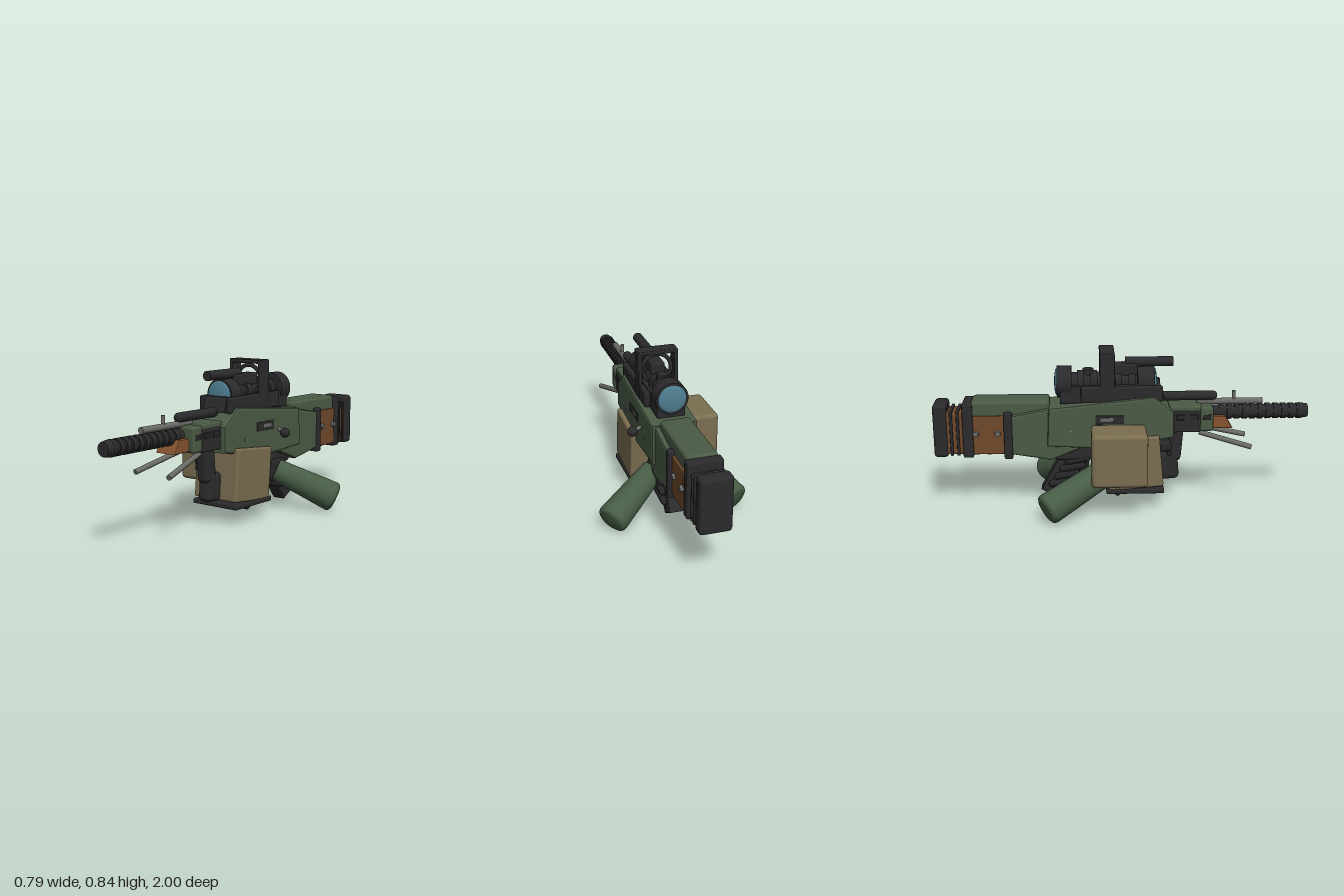
import * as THREE from 'three';
import { RoundedBoxGeometry } from 'three/addons/geometries/RoundedBoxGeometry.js';

const mat = (name, color) => {
  const m = new THREE.MeshStandardMaterial({ color });
  m.name = name;
  return m;
};
const V = (x, y, z) => new THREE.Vector3(x, y, z);
const CX = 0.01; // centre plane of the body

export function createModel() {
  const green = mat('olive green', 0x4b5b45);
  const sleeve = mat('sleeve green', 0x475c45);
  const black = mat('black', 0x2b2b2d);
  const glove = mat('glove black', 0x262628);
  const tan = mat('tan', 0x7b6e50);
  const brown = mat('brown', 0x70492c);
  const copper = mat('copper brown', 0x85532f);
  const glass = mat('blue glass', 0x4f7f92);
  const grey = mat('grey metal', 0x6a6a66);

  const model = new THREE.Group();
  const add = (name, geo, material) => {
    const m = new THREE.Mesh(geo, material);
    m.name = name;
    model.add(m);
    return m;
  };
  // rounded box from its bounds
  const box = (name, material, x0, x1, y0, y1, z0, z1, r = 0.01, tilt = 0) => {
    const m = add(name, new RoundedBoxGeometry(x1 - x0, y1 - y0, z1 - z0, 2, r), material);
    m.position.set((x0 + x1) / 2, (y0 + y1) / 2, (z0 + z1) / 2);
    m.rotation.x = tilt;
    return m;
  };
  // cylinder between two points
  const rod = (name, material, a, b, r0, r1 = r0, seg = 24) => {
    const d = b.clone().sub(a);
    const m = add(name, new THREE.CylinderGeometry(r1, r0, d.length(), seg), material);
    m.position.copy(a).addScaledVector(d, 0.5);
    m.quaternion.setFromUnitVectors(V(0, 1, 0), d.normalize());
    return m;
  };
  const tube = (name, material, y, z0, z1, r, r1 = r) => rod(name, material, V(CX, y, z0), V(CX, y, z1), r, r1);
  const capsule = (name, material, a, b, r) => {
    const d = b.clone().sub(a);
    const m = add(name, new THREE.CapsuleGeometry(r, d.length(), 5, 12), material);
    m.position.copy(a).addScaledVector(d, 0.5);
    m.quaternion.setFromUnitVectors(V(0, 1, 0), d.normalize());
    return m;
  };
  // side outline of [z, y] points, extruded across the width
  const slab = (name, material, points, width, bevel = 0.012) => {
    const shape = new THREE.Shape(points.map(p => new THREE.Vector2(...p)));
    const geo = new THREE.ExtrudeGeometry(shape, {
      depth: width - 2 * bevel, bevelEnabled: true, bevelSize: bevel,
      bevelThickness: bevel, bevelOffset: -bevel, bevelSegments: 2,
    });
    geo.translate(0, 0, -width / 2 + bevel).rotateY(-Math.PI / 2);
    const m = add(name, geo, material);
    m.position.x = CX;
    return m;
  };

  // receiver and rear housing
  slab('receiver', green, [[0.27, 0.4], [0.27, 0.535], [0.165, 0.625], [-0.39, 0.57], [-0.4, 0.36], [-0.1, 0.345]], 0.24);
  slab('rearHousing', green, [[-0.23, 0.34], [-0.23, 0.56], [-0.38, 0.565], [-0.59, 0.525], [-0.59, 0.315], [-0.38, 0.28]], 0.21);
  box('cheekRest', green, -0.07, 0.09, 0.45, 0.602, -0.8, -0.385, 0.02);

  // stock with collars and butt pad
  box('stockCore', brown, -0.062, 0.082, 0.31, 0.54, -0.95, -0.58);
  for (const s of [-1, 1]) {
    box('stockPanel', brown, CX + s * 0.079 - 0.012, CX + s * 0.079 + 0.012, 0.315, 0.525, -0.79, -0.62, 0.005);
    for (const z of [-0.66, -0.775])
      rod('stockStud', grey, V(CX + s * 0.085, 0.43, z), V(CX + s * 0.105, 0.43, z), 0.018, 0.014);
  }
  box('frontCollar', black, -0.1, 0.12, 0.29, 0.545, -0.627, -0.582);
  box('rearCollar', black, -0.08, 0.1, 0.295, 0.59, -0.845, -0.79);
  for (const z of [-0.87, -0.905]) box('stockRib', black, -0.07, 0.09, 0.305, 0.55, z - 0.008, z + 0.008, 0.005);
  box('stockStrap', black, -0.05, 0.07, 0.302, 0.54, -0.72, -0.7, 0.005);
  box('buttPad', black, -0.072, 0.092, 0.295, 0.585, -1, -0.925, 0.02);

  // receiver side details
  for (const s of [-1, 1]) {
    const side = CX + s * 0.12;
    box('portPlate', black, side - 0.004, side + 0.004, 0.483, 0.53, -0.145, 0.005, 0.003);
    box('portInsert', grey, side - 0.006, side + 0.006, 0.496, 0.518, -0.12, -0.05, 0.003);
    for (const z of [0.1, -0.275]) rod('rivet', grey, V(side - s * 0.02, 0.45, z), V(side + s * 0.004, 0.45, z), 0.01, 0.01, 12);
  }
  rod('chargingStem', grey, V(0.11, 0.485, -0.19), V(0.165, 0.46, -0.19), 0.011);
  add('chargingKnob', new THREE.SphereGeometry(0.027, 20, 14), black).position.set(0.173, 0.457, -0.19);

  // handguard, nose and bipod
  box('handguard', black, -0.08, 0.1, 0.42, 0.54, 0.25, 0.415);
  box('handguardTop', green, -0.075, 0.095, 0.53, 0.565, 0.25, 0.42);
  box('handguardFront', green, -0.085, 0.105, 0.425, 0.56, 0.41, 0.482, 0.015);
  for (const s of [-1, 1]) {
    for (let i = 0; i < 3; i++)
      box('handguardVent', glove, CX + s * 0.092 - 0.004, CX + s * 0.092 + 0.004, 0.49, 0.52, 0.285 + i * 0.07, 0.33 + i * 0.07, 0.003);
    rod('bipodLeg', grey, V(CX + s * 0.065, 0.415, 0.41), V(CX + s * 0.112, 0.342, 0.685), 0.014);
  }
  slab('nose', copper, [[0.47, 0.5], [0.55, 0.5], [0.59, 0.432], [0.47, 0.432]], 0.125, 0.008);

  // barrel, gas tube and front sight
  tube('barrel', black, 0.51, 0.25, 0.98, 0.036);
  for (let z = 0.52; z < 0.97; z += 0.042) tube('barrelRing', black, 0.51, z, z + 0.026, 0.042);
  tube('muzzle', black, 0.51, 0.955, 1, 0.043, 0.036);
  tube('gasTube', grey, 0.567, 0.4, 0.755, 0.017);
  capsule('topTube', black, V(CX, 0.6, 0.22), V(CX, 0.6, 0.485), 0.026);
  rod('frontSight', grey, V(CX, 0.57, 0.6), V(CX, 0.625, 0.6), 0.01);

  // fore grip
  box('foreGripTop', black, -0.027, 0.05, 0.24, 0.43, 0.24, 0.325, 0.025, 0.08);
  box('foreGripBottom', black, -0.028, 0.052, 0.135, 0.29, 0.2, 0.305, 0.025, -0.08);

  // ammunition box and side pouch
  box('ammoBox', tan, -0.13, 0.155, 0.122, 0.405, -0.088, 0.205, 0.012, -0.09);
  box('ammoBasePlate', black, -0.137, 0.16, 0.097, 0.124, -0.09, 0.22, 0.008);
  box('basePlateRidge', black, -0.06, 0.08, 0.088, 0.11, -0.04, 0.16, 0.008);
  box('feedLever', black, -0.028, 0.052, 0.06, 0.14, -0.09, 0.01, 0.008, 0.6);
  box('sidePouch', tan, -0.31, -0.1, 0.195, 0.48, -0.17, 0.12, 0.022);

  // pistol grip and trigger guard
  slab('pistolGrip', black, [[-0.13, 0.35], [-0.3, 0.35], [-0.44, 0.09], [-0.36, 0.042]], 0.085);
  box('gripMount', black, -0.06, 0.08, 0.27, 0.37, -0.36, -0.07);
  box('triggerGuard', black, -0.01, 0.03, 0.17, 0.195, -0.24, -0.07, 0.008, 0.1);

  // gloved hands
  for (let i = 0; i < 4; i++) {
    const y = 0.275 - i * 0.042, z = -0.19 - i * 0.03;
    for (const s of [-1, 1])
      capsule('rightFinger', glove, V(CX + s * 0.055, y, z), V(CX + s * 0.05, y - 0.02, z - 0.1), 0.02);
    capsule('rightKnuckle', glove, V(CX - 0.05, y, z), V(CX + 0.05, y, z), 0.02);
  }
  box('rightPalm', glove, 0.03, 0.1, 0.17, 0.3, -0.32, -0.18, 0.03);
  for (let i = 0; i < 3; i++) {
    const x = -0.075 + i * 0.025;
    capsule('leftFinger', glove, V(x, 0.36, 0.235), V(x, 0.3, 0.25), 0.013);
  }
  box('leftPalm', glove, -0.095, -0.02, 0.315, 0.375, 0.12, 0.26, 0.02);

  // sleeves: tapered lathes with softly domed ends
  const addSleeve = (name, a, b, r0, r1) => {
    const d = b.clone().sub(a), L = d.length();
    const pts = [[0, 0], [r0, 0], [r1, L - 0.022], [r1 * 0.93, L - 0.008], [r1 * 0.75, L], [0, L + 0.006]];
    const m = add(name, new THREE.LatheGeometry(pts.map(p => new THREE.Vector2(...p)), 32), sleeve);
    m.position.copy(a);
    m.quaternion.setFromUnitVectors(V(0, 1, 0), d.normalize());
  };
  addSleeve('rightSleeve', V(0.08, 0.235, -0.235), V(0.357, 0.08, -0.415), 0.062, 0.083);
  addSleeve('leftSleeve', V(-0.1, 0.29, 0.02), V(-0.323, 0.085, -0.41), 0.068, 0.083);

  // sight base and scope
  slab('sightBase', black, [[0.225, 0.6], [0.2, 0.68], [-0.33, 0.675], [-0.33, 0.58]], 0.15, 0.008);
  for (const s of [-1, 1]) {
    const x = CX + s * 0.09;
    box('sightWing', black, x - 0.015, x + 0.015, 0.595, 0.68, -0.22, 0.21, 0.01);
  }
  tube('scopeTube', black, 0.685, -0.3, 0.15, 0.05);
  tube('scopeFrontBell', black, 0.685, 0.08, 0.17, 0.078, 0.082);
  tube('scopeRearBell', black, 0.685, -0.345, -0.268, 0.085);
  for (const z of [0.05, -0.02, -0.15, -0.22]) tube('scopeRing', black, 0.685, z - 0.018, z + 0.018, 0.06);
  for (const [z, dir] of [[0.17, 1], [-0.345, -1]]) {
    const lens = add('lens', new THREE.SphereGeometry(0.074, 28, 8, 0, Math.PI * 2, 0, Math.PI / 2), glass);
    lens.position.set(CX, 0.685, z);
    lens.rotation.x = dir * Math.PI / 2;
    lens.scale.y = 0.2;
  }
  rod('turret', grey, V(CX, 0.72, 0.015), V(CX, 0.79, 0.015), 0.018);
  rod('turretSide', black, V(CX, 0.685, -0.18), V(CX, 0.755, -0.18), 0.03);

  // protective frame with ring and upper tube
  for (const x of [-0.085, 0.107]) box('framePost', black, x - 0.01, x + 0.01, 0.6, 0.855, -0.12, -0.042, 0.005);
  box('frameTop', black, -0.095, 0.117, 0.836, 0.857, -0.12, -0.042, 0.005);
  add('frameRing', new THREE.TorusGeometry(0.077, 0.011, 10, 40), black).position.set(CX, 0.748, -0.08);
  box('upperTubeMount', black, -0.027, 0.047, 0.72, 0.785, -0.11, 0.08, 0.01);
  tube('upperTube', black, 0.79, 0.016, 0.27, 0.026);

  return model;
}
